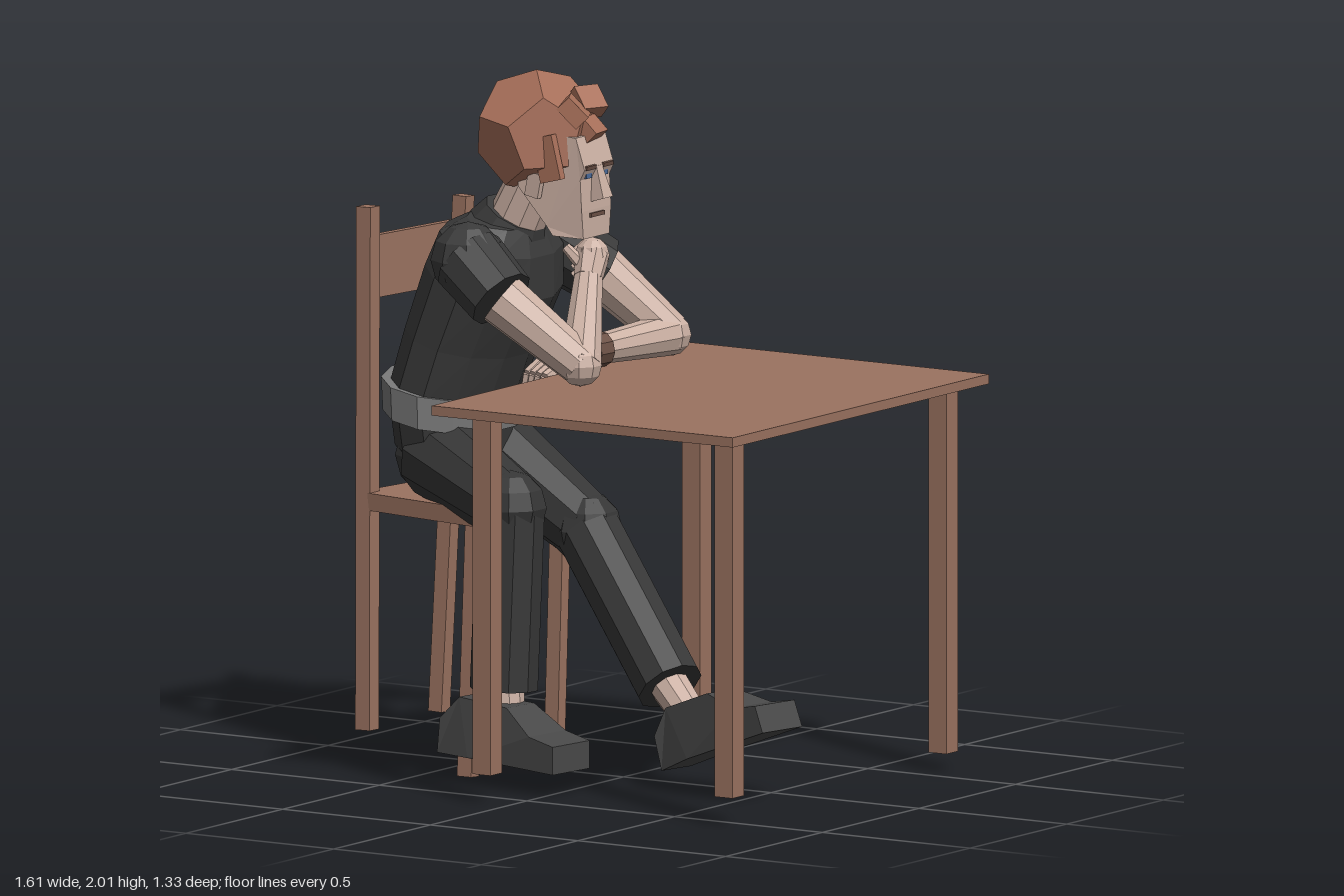
import * as THREE from 'three';

const mat = (color) => new THREE.MeshStandardMaterial({ color, flatShading: true });
const V = (p) => new THREE.Vector3(...p);
const UP = new THREE.Vector3(0, 1, 0);

export function createModel() {
  const root = new THREE.Group();
  const wood = mat(0x9a7260), skin = mat(0xcbb0a3), hair = mat(0xa8705a), shirt = mat(0x3a3a3a);
  const trousers = mat(0x363636), belt = mat(0x777777), shoe = mat(0x484848);
  const dark = mat(0x6b5045), blue = mat(0x4a6a9a);

  const group = (name) => {
    const g = new THREE.Group();
    g.name = name;
    root.add(g);
    return g;
  };
  const add = (parent, name, geo, m) => {
    const mesh = new THREE.Mesh(geo, m);
    mesh.name = name;
    parent.add(mesh);
    return mesh;
  };
  const span = (mesh, a, b) => {
    mesh.position.copy(V(a)).add(V(b)).multiplyScalar(0.5);
    mesh.quaternion.setFromUnitVectors(UP, V(b).sub(V(a)).normalize());
    return mesh;
  };
  const length = (a, b) => V(a).distanceTo(V(b));
  // Tapered round part from a to b
  const limb = (parent, name, a, b, ra, rb, m, sides = 10) =>
    span(add(parent, name, new THREE.CylinderGeometry(rb, ra, length(a, b), sides), m), a, b);
  // Square bar from a to b
  const bar = (parent, name, a, b, w, d, m) =>
    span(add(parent, name, new THREE.BoxGeometry(w, length(a, b), d), m), a, b);
  const ball = (parent, name, p, r, m) => {
    const mesh = add(parent, name, new THREE.SphereGeometry(r, 9, 6), m);
    mesh.position.set(...p);
    return mesh;
  };
  const box = (parent, name, size, p, m, tilt = 0) => {
    const mesh = add(parent, name, new THREE.BoxGeometry(...size), m);
    mesh.position.set(...p);
    mesh.rotation.z = tilt;
    return mesh;
  };
  // Side profile with a width, centred on z = 0
  const slab = (points, width) => {
    const shape = new THREE.Shape(points.map((p) => new THREE.Vector2(...p)));
    return new THREE.ExtrudeGeometry(shape, { depth: width, bevelEnabled: false }).translate(0, 0, -width / 2);
  };
  const reshape = (geo, rule) => {
    const pos = geo.attributes.position, v = new THREE.Vector3();
    for (let i = 0; i < pos.count; i++) {
      rule(v.fromBufferAttribute(pos, i));
      pos.setXYZ(i, v.x, v.y, v.z);
    }
    geo.computeVertexNormals();
    return geo;
  };
  // Closed body through leaning ellipses: [x, y, depth radius, width radius, lean]
  const loft = (rings, n = 12) => {
    const pos = [], idx = [];
    rings.forEach(([x, y, a, b, lean]) => {
      for (let j = 0; j < n; j++) {
        const t = (j + 0.5) / n * Math.PI * 2, c = Math.cos(t) * a;
        pos.push(x + c * Math.cos(lean), y - c * Math.sin(lean), -0.01 - Math.sin(t) * b);
      }
    });
    for (let i = 0; i < rings.length - 1; i++) {
      for (let j = 0; j < n; j++) {
        const k = (j + 1) % n, p = i * n, q = p + n;
        idx.push(p + j, p + k, q + k, p + j, q + k, q + j);
      }
    }
    const top = (rings.length - 1) * n;
    for (let j = 1; j < n - 1; j++) idx.push(0, j + 1, j, top, top + j, top + j + 1);
    const geo = new THREE.BufferGeometry();
    geo.setAttribute('position', new THREE.Float32BufferAttribute(pos, 3));
    geo.setIndex(idx);
    geo.computeVertexNormals();
    return geo;
  };

  // Table
  const table = group('table');
  box(table, 'tableTop', [1.02, 0.028, 1.325], [0.293, 1.122, 0], wood);
  [[-0.085, 0.08, 0.575], [0.705, 0.08, 0.53], [0.69, 0.05, -0.6], [-0.125, 0.08, -0.57]].forEach(([x, y, z]) =>
    bar(table, 'tableLeg', [x, y, z], [x, 1.11, z], 0.06, 0.06, wood));

  // Chair
  const chair = group('chair');
  const seat = slab([[-0.79, -0.17], [-0.35, -0.25], [-0.34, 0.21], [-0.725, 0.27]], 0.05);
  add(chair, 'seat', seat.rotateX(-Math.PI / 2).translate(0, 0.745, 0), wood);
  bar(chair, 'backPost', [-0.757, 0.09, 0.17], [-0.78, 1.585, 0.13], 0.048, 0.05, wood);
  bar(chair, 'backPost', [-0.762, 0.09, -0.21], [-0.725, 1.565, -0.28], 0.045, 0.045, wood);
  bar(chair, 'frontLeg', [-0.37, 0, 0.24], [-0.375, 0.73, 0.19], 0.048, 0.04, wood);
  bar(chair, 'frontLeg', [-0.358, 0.03, -0.19], [-0.36, 0.73, -0.225], 0.045, 0.04, wood);
  const slat = box(chair, 'backSlat', [0.022, 0.18, 0.4], [-0.752, 1.41, -0.075], wood);
  slat.rotation.y = -0.13;

  // Torso
  const body = group('torso');
  add(body, 'hips', loft([[-0.56, 0.8, 0.11, 0.16, 0.1], [-0.57, 0.9, 0.15, 0.23, 0.15], [-0.575, 1.03, 0.16, 0.25, 0.2]]), trousers);
  add(body, 'belt', loft([[-0.58, 0.99, 0.172, 0.265, 0.2], [-0.58, 1.085, 0.177, 0.27, 0.2]]), belt);
  add(body, 'shirt', loft([[-0.575, 1.06, 0.16, 0.25, 0.2], [-0.52, 1.22, 0.165, 0.25, 0.3], [-0.445, 1.4, 0.175, 0.255, 0.35],
    [-0.42, 1.51, 0.15, 0.235, 0.3], [-0.4, 1.565, 0.1, 0.15, 0.2]]), shirt);
  limb(body, 'collar', [-0.4, 1.53, -0.01], [-0.37, 1.585, -0.01], 0.12, 0.095, shirt);
  limb(body, 'neck', [-0.38, 1.54, -0.01], [-0.28, 1.74, -0.01], 0.085, 0.075, skin);

  // Head
  const head = group('head');
  const face = slab([[-0.3, 1.68], [-0.21, 1.57], [-0.19, 1.545], [-0.1, 1.54], [-0.1, 1.62], [-0.105, 1.71], [-0.09, 1.74], [-0.12, 1.83], [-0.3, 1.84]], 0.2);
  reshape(face, (v) => {
    v.z = v.z * (v.x > -0.15 ? 0.76 : 1) * (v.y < 1.6 ? 0.88 : 1) - 0.012;
  });
  add(head, 'face', face, skin);
  const nose = slab([[-0.11, 1.64], [-0.06, 1.655], [-0.09, 1.745], [-0.11, 1.745]], 0.05);
  reshape(nose, (v) => { v.z = v.z * (v.y > 1.7 ? 0.6 : 1) - 0.012; });
  add(head, 'nose', nose, skin);
  box(head, 'mouth', [0.008, 0.012, 0.07], [-0.098, 1.605, -0.012], dark);
  for (const s of [-1, 1]) {
    box(head, 'eye', [0.01, 0.02, 0.028], [-0.102, 1.722, -0.012 + s * 0.042], blue);
    box(head, 'brow', [0.02, 0.012, 0.05], [-0.097, 1.745, -0.012 + s * 0.044], dark, -0.2);
    box(head, 'ear', [0.045, 0.07, 0.02], [-0.24, 1.69, -0.012 + s * 0.105], skin, -0.2);
    box(head, 'sideHair', [0.07, 0.13, 0.025], [-0.19, 1.77, -0.005 + s * 0.105], hair, 0.25);
  }
  const cap = add(head, 'hair', new THREE.DodecahedronGeometry(0.182), hair);
  cap.position.set(-0.29, 1.828, 0);
  cap.rotation.set(0.15, 0.2, 0.3);
  [[-0.15, 1.9, 0.03, 0.5], [-0.16, 1.915, -0.06, -0.4], [-0.135, 1.85, -0.02, 0.15]].forEach(([x, y, z, turn]) => {
    box(head, 'fringe', [0.08, 0.05, 0.08], [x, y, z], hair, -0.8).rotation.y = turn;
  });

  // Legs: hip, knee, trouser end, ankle, then shoe origin and direction
  const legs = {
    rightLeg: [[-0.56, 0.89, 0.1], [-0.215, 0.79, 0.255], [-0.222, 0.27, 0.28], [-0.205, 0.17, 0.29], [-0.21, 0.08, 0.31], [0.45, 0, 0.06]],
    leftLeg: [[-0.56, 0.9, -0.13], [-0.2, 0.68, -0.115], [0.18, 0.28, 0.035], [0.28, 0.2, 0.075], [0.41, 0.13, 0.125], [0.4, 0.17, 0.08]],
  };
  for (const [name, [hip, knee, hem, ankle, origin, dir]] of Object.entries(legs)) {
    const g = group(name);
    ball(g, 'hipJoint', hip, 0.125, trousers);
    limb(g, 'thigh', hip, knee, 0.13, 0.1, trousers);
    ball(g, 'knee', knee, 0.105, trousers);
    limb(g, 'shin', knee, hem, 0.098, 0.098, trousers);
    limb(g, 'ankle', hem, ankle, 0.058, 0.052, skin);
    const geo = slab([[-0.19, 0], [-0.06, 0], [0.26, -0.015], [0.26, 0.065], [0.17, 0.085], [0.07, 0.155], [-0.12, 0.165], [-0.18, 0.1]], 0.16);
    reshape(geo, (v) => { v.z *= (v.x < -0.1 ? 0.75 : 1) * (v.y > 0.12 ? 0.75 : 1); });
    const f = V(dir).normalize(), side = f.clone().cross(UP).normalize();
    const foot = add(g, 'shoe', geo, shoe);
    foot.quaternion.setFromRotationMatrix(new THREE.Matrix4().makeBasis(f, side.clone().cross(f), side));
    foot.position.set(...origin);
  }

  // Arms: shoulder, sleeve end, elbow, wrist, knuckles
  const arms = {
    rightArm: [[-0.385, 1.48, 0.215], [-0.26, 1.38, 0.235], [-0.045, 1.2, 0.155], [-0.12, 1.42, 0.0], [-0.135, 1.48, -0.045]],
    leftArm: [[-0.415, 1.48, -0.235], [-0.31, 1.38, -0.345], [-0.125, 1.2, -0.43], [-0.2, 1.185, -0.155], [-0.255, 1.17, -0.05]],
  };
  const hands = {};
  for (const [name, [shoulder, cuff, elbow, wrist, knuckles]] of Object.entries(arms)) {
    const g = hands[name] = group(name);
    ball(g, 'shoulder', shoulder, 0.108, shirt);
    limb(g, 'sleeve', shoulder, cuff, 0.108, 0.1, shirt);
    limb(g, 'upperArm', cuff, elbow, 0.078, 0.062, skin);
    ball(g, 'elbow', elbow, 0.063, skin);
    limb(g, 'forearm', elbow, wrist, 0.062, 0.042, skin);
    limb(g, 'palm', wrist, knuckles, 0.042, 0.05, skin, 8);
    ball(g, 'knuckles', knuckles, 0.05, skin);
  }
  limb(hands.leftArm, 'watchStrap', [-0.192, 1.186, -0.185], [-0.203, 1.184, -0.135], 0.051, 0.051, dark);
  // Fingers: curled under the chin on one hand, hanging over the table edge on the other
  for (let i = 0; i < 4; i++) {
    const x = -0.3 + i * 0.025, d = i * 0.022;
    const chains = {
      rightArm: [[-0.12 - d * 0.3, 1.505 - d, -0.06], [-0.175, 1.51 - d, -0.09], [-0.21, 1.475 - d, -0.06]],
      leftArm: [[x + 0.01, 1.17, -0.04], [x - 0.01, 1.13, 0.02 + d * 0.4], [x - 0.025, 1.05 + d * 0.3, 0.025 + d * 0.4]],
    };
    for (const [name, [a, b, c]] of Object.entries(chains)) {
      limb(hands[name], 'finger', a, b, 0.018, 0.016, skin, 6);
      limb(hands[name], 'fingerTip', b, c, 0.016, 0.012, skin, 6);
    }
  }
  limb(hands.rightArm, 'thumb', [-0.13, 1.44, -0.01], [-0.19, 1.505, 0.01], 0.022, 0.014, skin, 6);
  limb(hands.leftArm, 'thumb', [-0.23, 1.16, -0.11], [-0.2, 1.145, -0.02], 0.022, 0.014, skin, 6);

  return root;
}
